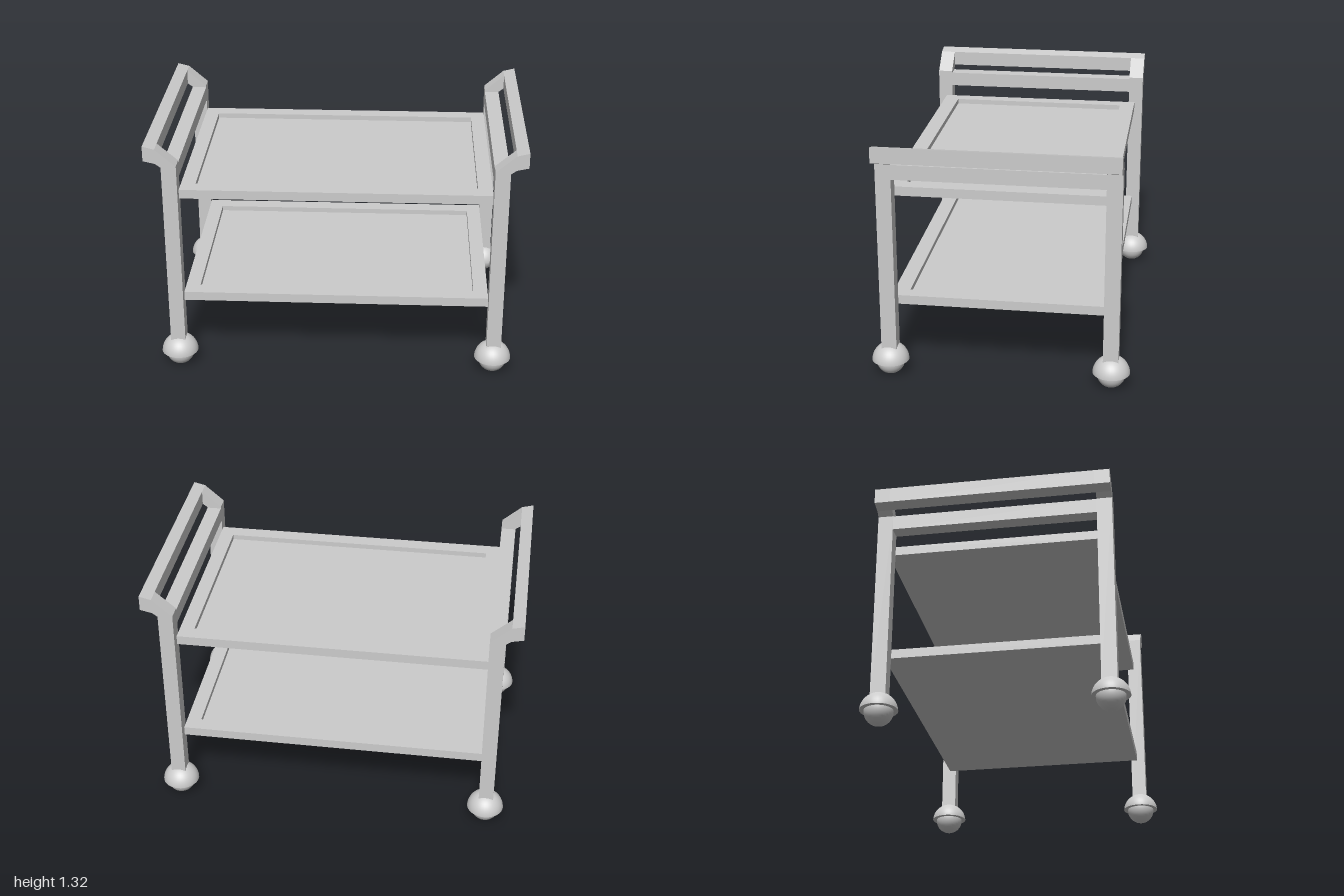
import * as THREE from 'three';

const material = new THREE.MeshStandardMaterial({ color: 0xcccccc });

function add(parent, name, geometry, x = 0, y = 0, z = 0) {
  const mesh = new THREE.Mesh(geometry, material);
  mesh.name = name;
  mesh.position.set(x, y, z);
  parent.add(mesh);
  return mesh;
}

// Extrudes an outline of [x, y] points along z, centred on z = 0
function prism(points, depth) {
  const shape = new THREE.Shape(points.map(([x, y]) => new THREE.Vector2(x, y)));
  return new THREE.ExtrudeGeometry(shape, { depth, bevelEnabled: false }).translate(0, 0, -depth / 2);
}

// Shallow tray: raised rim around a sunken floor
function createTray(name, y) {
  const tray = new THREE.Group();
  tray.name = name;
  tray.position.y = y;
  const rect = (path, w, d) =>
    path.moveTo(-w, -d).lineTo(w, -d).lineTo(w, d).lineTo(-w, d).closePath();
  const outline = rect(new THREE.Shape(), 0.828, 0.585);
  outline.holes.push(rect(new THREE.Path(), 0.75, 0.5));
  const rim = new THREE.ExtrudeGeometry(outline, { depth: 0.05, bevelEnabled: false });
  add(tray, 'trayRim', rim.rotateX(-Math.PI / 2));
  add(tray, 'trayFloor', new THREE.BoxGeometry(1.5, 0.022, 1), 0, 0.011, 0);
  return tray;
}

// Ball wheel under a domed hood
function createCaster(x, z) {
  const caster = new THREE.Group();
  caster.name = 'caster';
  caster.position.set(x, 0.077, z);
  const r = 0.1, rimY = 0.005;
  add(caster, 'ball', new THREE.SphereGeometry(0.077, 32, 20));
  add(caster, 'hood', new THREE.SphereGeometry(r, 32, 12, 0, Math.PI * 2, 0, Math.acos(rimY / r)));
  add(caster, 'hoodBase', new THREE.CircleGeometry(r, 32).rotateX(Math.PI / 2), 0, rimY, 0);
  return caster;
}

// One end of the trolley: two legs with bent arms, crossbar, push handle, casters
function createEndFrame(name) {
  const end = new THREE.Group();
  end.name = name;
  const legZ = 0.591, legWidth = 0.082, span = 2 * legZ - legWidth;
  const legProfile = [
    [0.828, 0.14], [0.908, 0.14], [0.908, 1.202], [0.936, 1.223], [1, 1.237],
    [1, 1.32], [0.936, 1.304], [0.828, 1.21],
  ];
  const handleProfile = [[0.936, 1.223], [1, 1.237], [1, 1.32], [0.936, 1.304]];
  for (const side of [-1, 1]) {
    add(end, 'legWithArm', prism(legProfile, legWidth), 0, 0, side * legZ);
    end.add(createCaster(0.865, side * 0.593));
  }
  add(end, 'pushHandle', prism(handleProfile, span));
  add(end, 'crossbar', new THREE.BoxGeometry(0.08, 0.08, span), 0.868, 1.16, 0);
  return end;
}

export function createModel() {
  const trolley = new THREE.Group();
  trolley.name = 'servingTrolley';
  trolley.add(createTray('upperTray', 1.005), createTray('lowerTray', 0.39));
  const left = createEndFrame('leftEnd');
  const right = createEndFrame('rightEnd');
  right.rotation.y = Math.PI;
  trolley.add(left, right);
  return trolley;
}
